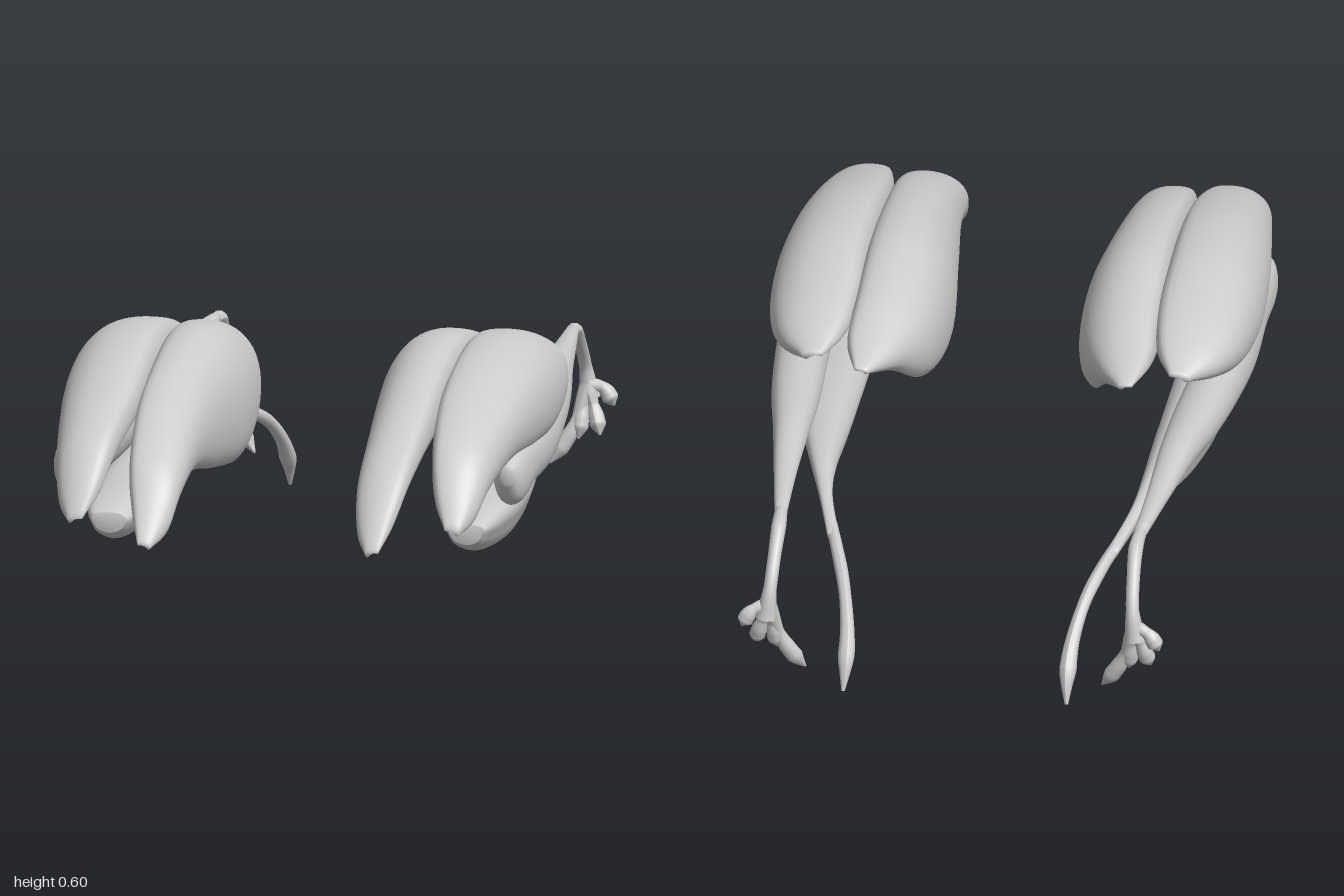
import * as THREE from 'three';

const material = new THREE.MeshStandardMaterial({ color: 0xcccccc, roughness: 0.8 });
const vec = (a) => new THREE.Vector3(...a);

// Unit cross-sections, counter-clockwise, fitted into each station's box
const outline = (pts, n) => new THREE.CatmullRomCurve3(
  pts.map(([u, v]) => new THREE.Vector3(u, v, 0)), true).getPoints(n).slice(0, n);

const crescent = outline([[0, 0.52], [0.25, 0.56], [0.5, 0.42], [0.68, 0.2], [0.8, 0], [0.95, 0.13],
  [1, 0.42], [0.91, 0.71], [0.68, 0.92], [0.35, 1], [0.04, 0.93]], 44);
const oval = outline([[1, 0.5], [0.86, 0.88], [0.5, 1], [0.13, 0.85], [0, 0.5], [0.14, 0.14],
  [0.5, 0], [0.87, 0.13]], 28);
// Belly that is broad above and narrows below
const wedge = outline([[1, 0.7], [0.93, 0.9], [0.65, 1], [0.22, 0.97], [0, 0.72], [0.05, 0.42],
  [0.2, 0.14], [0.5, 0], [0.8, 0.16], [0.93, 0.45]], 30);

// Loft a section along stations [z, x0, x1, y0, y1], running front to back
function loft(name, section, stations, side) {
  const steps = 60, n = section.length, pos = [], idx = [];
  const xs = new THREE.CatmullRomCurve3(stations.map((s) => vec([s[1], s[2], s[0]])), false, 'catmullrom', 0.5);
  const ys = new THREE.CatmullRomCurve3(stations.map((s) => vec([s[3], s[4], s[0]])), false, 'catmullrom', 0.5);
  for (let i = 0; i <= steps; i++) {
    const a = xs.getPoint(i / steps), b = ys.getPoint(i / steps);
    for (const p of section) {
      pos.push(side * (a.x + (a.y - a.x) * p.x), b.x + (b.y - b.x) * p.y, a.z);
    }
  }
  const first = stations[0], last = stations[stations.length - 1];
  for (const s of [first, last]) pos.push(side * (s[1] + s[2]) / 2, (s[3] + s[4]) / 2, s[0]);
  const front = (steps + 1) * n, back = front + 1;
  const flip = side * (stations[3][2] - stations[3][1]) < 0;
  const tri = (a, b, c) => (flip ? idx.push(a, c, b) : idx.push(a, b, c));
  for (let j = 0; j < n; j++) {
    const k = (j + 1) % n;
    for (let i = 0; i < steps; i++) {
      const r = i * n, q = r + n;
      tri(r + j, q + j, r + k);
      tri(r + k, q + j, q + k);
    }
    tri(front, j, k);
    tri(back, steps * n + k, steps * n + j);
  }
  const geo = new THREE.BufferGeometry();
  geo.setAttribute('position', new THREE.Float32BufferAttribute(pos, 3));
  geo.setIndex(idx);
  geo.computeVertexNormals();
  const mesh = new THREE.Mesh(geo, material);
  mesh.name = name;
  return mesh;
}

// Tendon: a tube whose radius follows a list of values along its path
function tendon(name, points, radii, side) {
  const curve = new THREE.CatmullRomCurve3(points.map(([x, y, z]) => new THREE.Vector3(side * x, y, z)));
  const steps = 28, sides = 10;
  const geo = new THREE.TubeGeometry(curve, steps, 1, sides, false);
  const pos = geo.attributes.position, p = new THREE.Vector3();
  for (let i = 0; i <= steps; i++) {
    const c = curve.getPointAt(i / steps), f = (i / steps) * (radii.length - 1);
    const k = Math.min(Math.floor(f), radii.length - 2);
    const r = THREE.MathUtils.lerp(radii[k], radii[k + 1], f - k);
    for (let j = 0; j <= sides; j++) {
      const id = i * (sides + 1) + j;
      p.fromBufferAttribute(pos, id).sub(c).multiplyScalar(r).add(c);
      pos.setXYZ(id, p.x, p.y, p.z);
    }
  }
  geo.computeVertexNormals();
  const mesh = new THREE.Mesh(geo, material);
  mesh.name = name;
  return mesh;
}

function muscleGroup(side) {
  const g = new THREE.Group();
  g.name = side > 0 ? 'leftMuscles' : 'rightMuscles';

  // Two arched upper heads meeting along a ridge
  g.add(loft('outerHead', crescent, [
    [0.925, 0.415, 0.448, 0.28, 0.3], [0.87, 0.385, 0.478, 0.295, 0.385], [0.78, 0.365, 0.498, 0.345, 0.47],
    [0.6, 0.347, 0.522, 0.38, 0.54], [0.4, 0.343, 0.545, 0.375, 0.59], [0.2, 0.343, 0.555, 0.375, 0.603],
    [0.02, 0.343, 0.542, 0.405, 0.575], [-0.11, 0.36, 0.505, 0.445, 0.535], [-0.195, 0.395, 0.44, 0.475, 0.495]], side));
  g.add(loft('innerHead', crescent, [
    [1, 0.275, 0.245, 0.24, 0.258], [0.93, 0.297, 0.215, 0.26, 0.335], [0.84, 0.318, 0.2, 0.32, 0.425],
    [0.65, 0.335, 0.19, 0.35, 0.52], [0.42, 0.34, 0.167, 0.315, 0.58], [0.2, 0.345, 0.148, 0.295, 0.6],
    [0, 0.345, 0.165, 0.345, 0.568], [-0.14, 0.342, 0.22, 0.43, 0.523], [-0.245, 0.315, 0.285, 0.472, 0.486]], side));

  // Outer long muscle, its tendon hooking down into short slips
  g.add(loft('outerLongMuscle', oval, [
    [0.625, 0.49, 0.52, 0.34, 0.38], [0.59, 0.475, 0.537, 0.292, 0.395], [0.53, 0.458, 0.542, 0.28, 0.402],
    [0.4, 0.435, 0.54, 0.286, 0.41], [0.2, 0.42, 0.542, 0.285, 0.42], [0, 0.41, 0.53, 0.305, 0.423],
    [-0.2, 0.4, 0.51, 0.33, 0.43], [-0.4, 0.398, 0.48, 0.362, 0.438], [-0.6, 0.398, 0.452, 0.383, 0.424],
    [-0.8, 0.394, 0.424, 0.392, 0.418]], side));
  g.add(tendon('outerTendon', [[0.409, 0.405, -0.79], [0.406, 0.395, -0.86], [0.408, 0.35, -0.92],
    [0.412, 0.29, -0.965], [0.42, 0.22, -0.975]], [0.014, 0.017, 0.015, 0.015, 0.024], side));
  const slips = [
    [[0.415, 0.25, -0.965], [0.39, 0.16, -0.945], [0.365, 0.115, -0.935], [0.337, 0.075, -0.92]],
    [[0.415, 0.25, -0.965], [0.405, 0.18, -0.95], [0.4, 0.13, -0.935]],
    [[0.415, 0.25, -0.965], [0.435, 0.19, -0.955], [0.45, 0.14, -0.935]],
    [[0.415, 0.25, -0.965], [0.45, 0.24, -0.98], [0.475, 0.2, -0.98]]];
  for (const path of slips) g.add(tendon('tendonSlip', path, [0.018, 0.016, 0.013, 0.018, 0.019, 0.002], side));

  // Lower long muscle with a slender tendon curving inward and down
  g.add(loft('lowerLongMuscle', wedge, [
    [0.605, 0.37, 0.448, 0.195, 0.24], [0.57, 0.358, 0.462, 0.177, 0.252], [0.47, 0.35, 0.476, 0.157, 0.265],
    [0.3, 0.345, 0.485, 0.145, 0.272], [0.1, 0.345, 0.48, 0.155, 0.288], [-0.1, 0.345, 0.455, 0.18, 0.3],
    [-0.3, 0.347, 0.41, 0.22, 0.304], [-0.45, 0.338, 0.37, 0.24, 0.285], [-0.6, 0.303, 0.33, 0.225, 0.25]], side));
  g.add(tendon('lowerTendon', [[0.328, 0.247, -0.55], [0.302, 0.228, -0.64], [0.273, 0.185, -0.74],
    [0.255, 0.12, -0.825], [0.252, 0.06, -0.88], [0.254, 0.01, -0.905]],
  [0.014, 0.014, 0.015, 0.014, 0.016, 0.02, 0.004], side));
  return g;
}

export function createModel() {
  const model = new THREE.Group();
  model.name = 'lowerLegMuscles';
  for (const side of [1, -1]) model.add(muscleGroup(side));
  return model;
}
